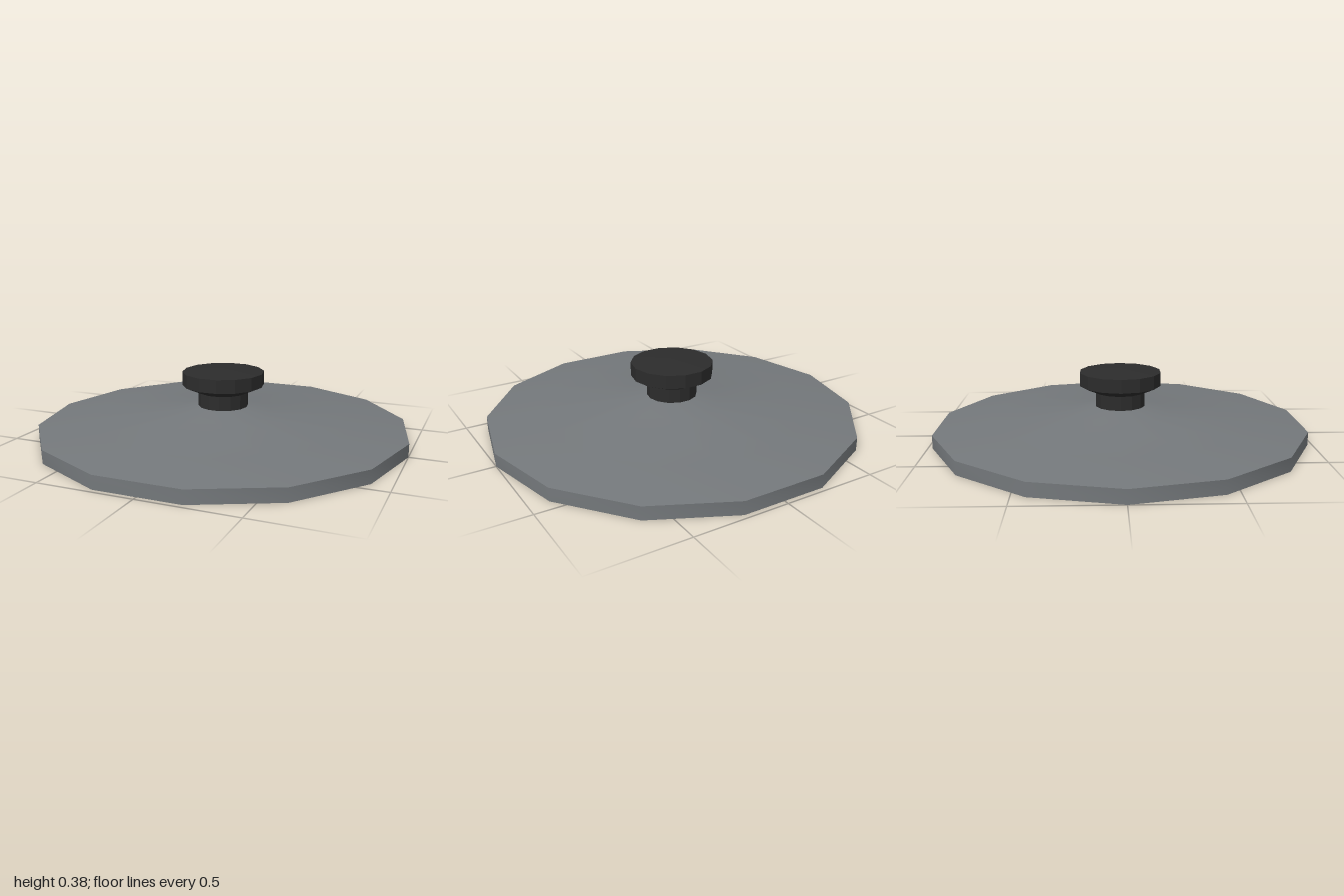
import * as THREE from 'three';
import { toCreasedNormals } from 'three/addons/utils/BufferGeometryUtils.js';

const SIDES = 14;

// Revolve a profile of [radius, height] pairs, with a corner on the x axis
function turned(name, profile, color, crease) {
  const points = profile.map(([r, y]) => new THREE.Vector2(r, y));
  const lathe = new THREE.LatheGeometry(points, SIDES, Math.PI / 2);
  const material = new THREE.MeshStandardMaterial({ color });
  const mesh = new THREE.Mesh(toCreasedNormals(lathe, crease), material);
  mesh.name = name;
  return mesh;
}

export function createModel() {
  const group = new THREE.Group();
  group.name = 'lid';

  // Shallow domed disc with an upright rim and a raised collar
  group.add(turned('lidDisc', [
    [0, 0], [1, 0], [1, 0.07], [0.72, 0.105], [0.26, 0.14], [0.13, 0.17], [0, 0.17],
  ], 0x74787b, 0.5));

  // Faceted knob: stem, flared underside, grip and low pointed cap
  group.add(turned('knob', [
    [0, 0.165], [0.135, 0.165], [0.135, 0.245], [0.22, 0.283], [0.22, 0.355], [0, 0.377],
  ], 0x2c2c2c, 0.3));

  return group;
}
